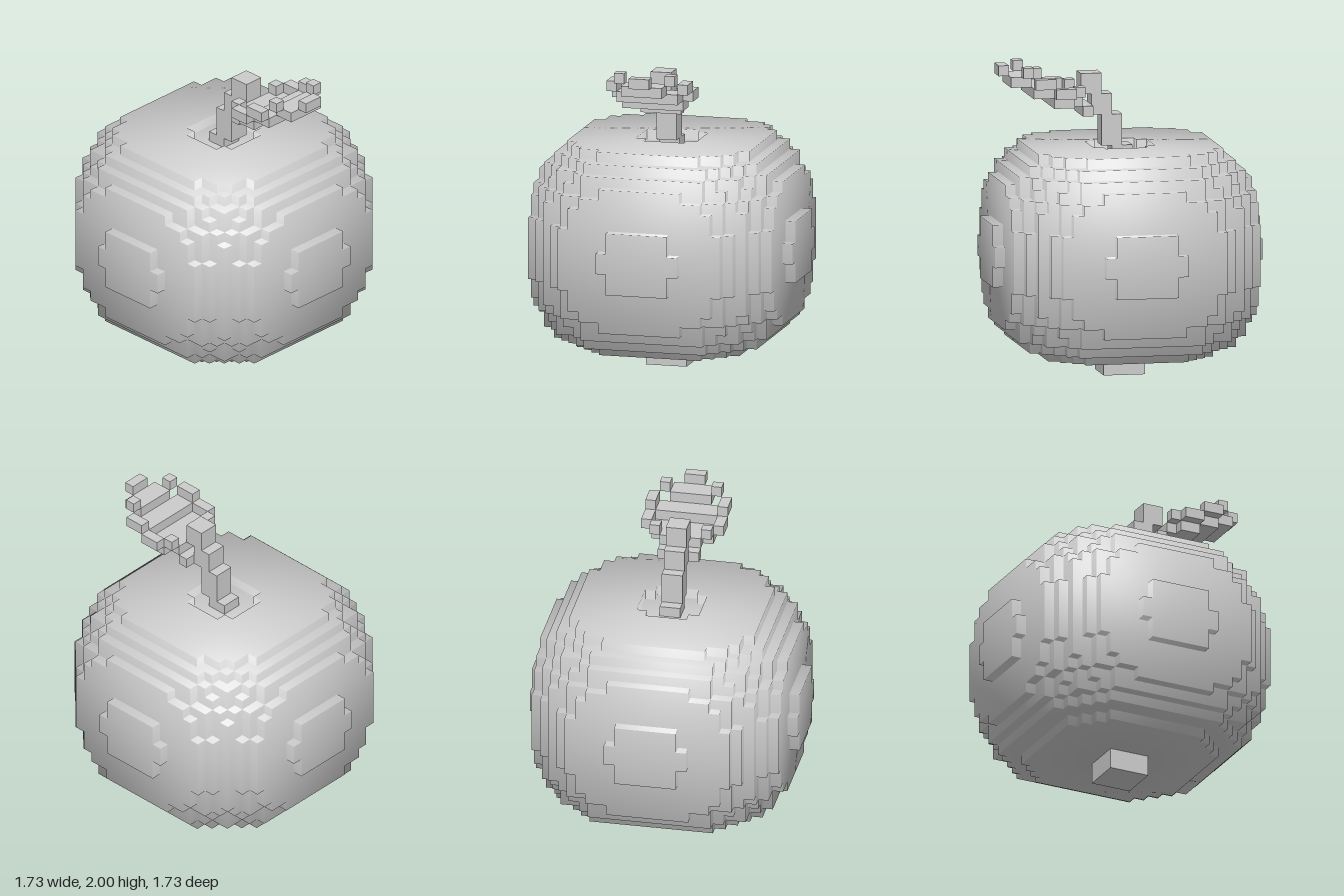
import * as THREE from 'three';

const U = 1 / 15; // edge of one block
const grey = new THREE.MeshStandardMaterial({ color: 0xcccccc });
grey.name = 'light grey';

// Distance index of a block from the centre plane (0 = touching it)
const away = (i) => (i >= 0 ? i : -1 - i);

// Skin of a block solid: one square for each exposed block side.
// round > 0 bends the normals towards the radial direction from the middle.
function blockMesh(name, filled, [x0, x1], [y0, y1], [z0, z1], round = 0) {
  const pos = [], nor = [], idx = [];
  const middle = new THREE.Vector3(0, 12, 0);
  const corners = [[-1, -1], [1, -1], [1, 1], [-1, 1]];
  for (let x = x0; x < x1; x++)
    for (let y = y0; y < y1; y++)
      for (let z = z0; z < z1; z++) {
        if (!filled(x, y, z)) continue;
        for (let axis = 0; axis < 3; axis++)
          for (const s of [-1, 1]) {
            const n = [0, 0, 0];
            n[axis] = s;
            if (filled(x + n[0], y + n[1], z + n[2])) continue;
            const base = pos.length / 3;
            for (const [a, b] of corners) {
              const p = [x + 0.5, y + 0.5, z + 0.5];
              p[axis] += s / 2;
              p[(axis + 1) % 3] += (a * s) / 2;
              p[(axis + 2) % 3] += b / 2;
              pos.push(p[0] * U, p[1] * U, p[2] * U);
              const v = new THREE.Vector3(...n);
              if (round) {
                const r = new THREE.Vector3(...p).sub(middle).normalize();
                v.multiplyScalar(1 - round).addScaledVector(r, round).normalize();
              }
              nor.push(v.x, v.y, v.z);
            }
            idx.push(base, base + 1, base + 2, base, base + 2, base + 3);
          }
      }
  const g = new THREE.BufferGeometry();
  g.setAttribute('position', new THREE.Float32BufferAttribute(pos, 3));
  g.setAttribute('normal', new THREE.Float32BufferAttribute(nor, 3));
  g.setIndex(idx);
  const mesh = new THREE.Mesh(g, grey);
  mesh.name = name;
  return mesh;
}

// Fruit layers from the bottom up: [squared radius, greatest half width]
const low = [[80, 8], [126, 10], [146, 11], [148, 12], [168, 12], [181, 12], [181, 12]];
const high = [[181, 12], [181, 12], [168, 12], [148, 12], [146, 11], [126, 10], [100, 9]];
const layers = [...low, ...Array(6).fill([195, 12]), ...high];

function inFruit(x, y, z) {
  const layer = layers[y - 2];
  if (!layer) return false;
  const ax = away(x), az = away(z);
  const big = Math.max(ax, az), small = Math.min(ax, az);
  // hollow around the stem
  if (y === 21 && big < 3 && ax + az < 4) return false;
  // raised patch on each side
  if (big === 12) return y >= 9 && y < 15 && small < (y === 11 || y === 12 ? 4 : 3);
  return big < layer[1] && (ax + 0.5) ** 2 + (az + 0.5) ** 2 < layer[0];
}

// Stem steps: [x from, x to, y from, y to]
const stemSteps = [[-1, 1, 21, 22], [0, 2, 22, 25], [1, 3, 25, 27], [2, 4, 27, 29]];
const inStem = (x, y, z) => away(z) < 1 &&
  stemSteps.some(([a, b, c, d]) => x >= a && x < b && y >= c && y < d);

// Cupped leaf strips: [x from, x to, layer, |z| from, |z| to]
const leafStrips = [
  [3, 4, 25, 0, 2],
  [4, 5, 26, 0, 2], [4, 5, 27, 2, 3],
  [5, 7, 26, 0, 3], [5, 7, 27, 3, 4],
  [7, 9, 27, 0, 3], [7, 9, 28, 3, 4],
  [9, 11, 28, 0, 2], [9, 10, 29, 2, 3],
  [11, 12, 29, 0, 1],
];
const inLeaf = (x, y, z) => leafStrips.some(([a, b, l, c, d]) =>
  x >= a && x < b && y === l && away(z) >= c && away(z) < d);

export function createModel() {
  const model = new THREE.Group();
  model.name = 'blockFruit';
  model.add(blockMesh('fruit', inFruit, [-13, 13], [2, 22], [-13, 13], 0.7));
  model.add(blockMesh('stem', inStem, [-1, 4], [21, 29], [-1, 1]));
  model.add(blockMesh('leaf', inLeaf, [3, 12], [25, 30], [-4, 4]));

  // Small foot under the fruit
  const foot = new THREE.Mesh(new THREE.BoxGeometry(4 * U, 2 * U, 4 * U), grey);
  foot.name = 'foot';
  foot.position.y = U;
  model.add(foot);
  return model;
}
